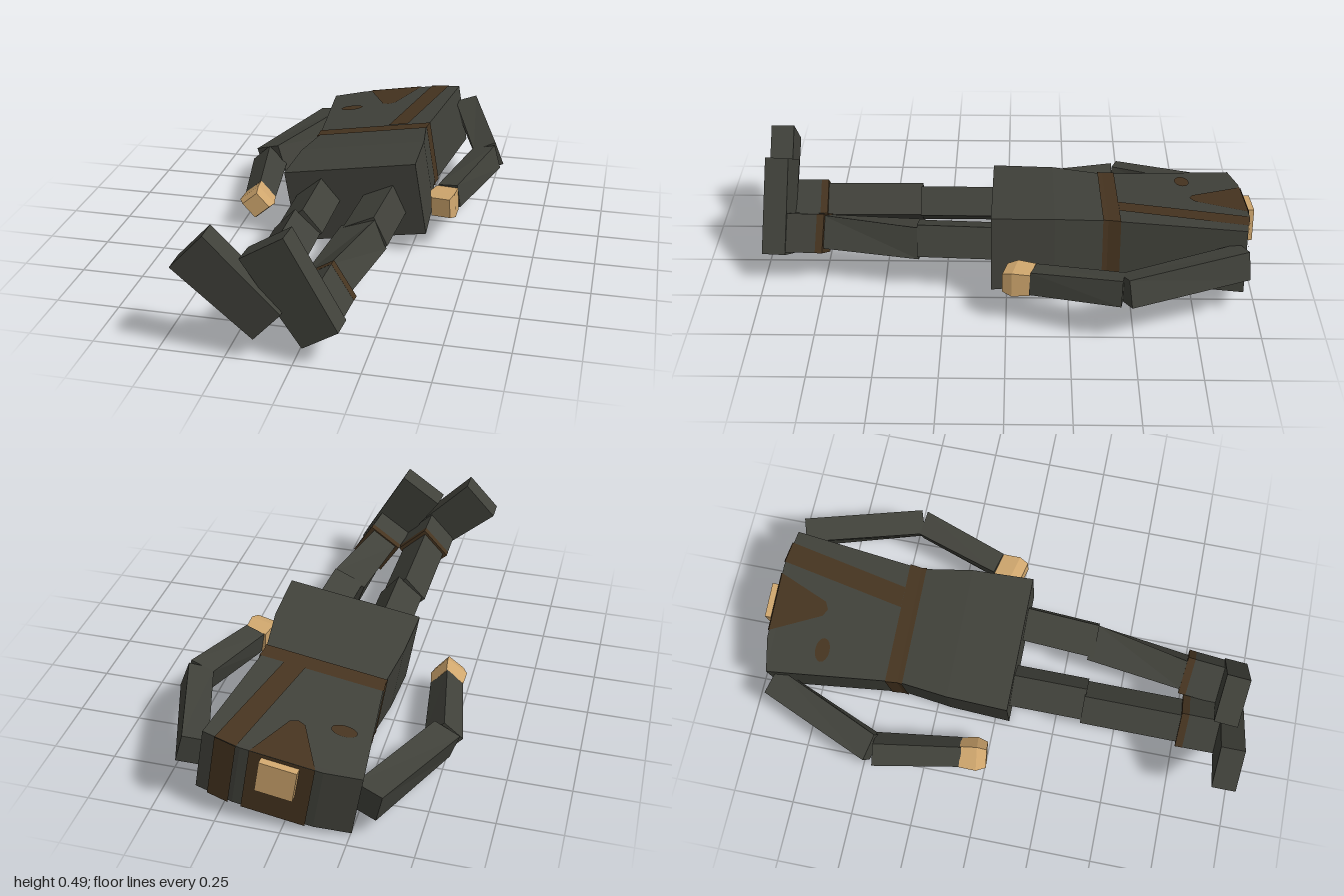
import * as THREE from 'three';

const mat = (name, color) => {
  const m = new THREE.MeshStandardMaterial({ color, side: THREE.DoubleSide });
  m.name = name;
  return m;
};

// One four-cornered cross-section: centre, size, roll in degrees,
// slope (z gained per unit of x) and an optional width of the upper edge.
function corners({ z, x, y, w, h, roll = 0, slope = 0, top = w }) {
  const a = THREE.MathUtils.degToRad(roll), c = Math.cos(a), s = Math.sin(a);
  return [[-w / 2, -h / 2], [w / 2, -h / 2], [top / 2, h / 2], [-top / 2, h / 2]].map(([u, v]) => {
    const dx = u * c - v * s;
    return [x + dx, y + u * s + v * c, z + slope * dx];
  });
}

function flatGeometry(triangles) {
  const g = new THREE.BufferGeometry();
  g.setAttribute('position', new THREE.Float32BufferAttribute(triangles.flat(), 3));
  g.computeVertexNormals();
  return g;
}

// Faceted solid through sections listed by rising z
function loft(sections, closed = true) {
  const rings = sections.map(corners), t = [];
  const quad = (a, b, c, d) => t.push(a, b, c, a, c, d);
  for (let k = 0; k < rings.length - 1; k++) {
    for (let i = 0; i < 4; i++) {
      const j = (i + 1) % 4;
      quad(rings[k][i], rings[k][j], rings[k + 1][j], rings[k + 1][i]);
    }
  }
  if (closed) {
    quad(...rings[0].slice().reverse());
    quad(...rings[rings.length - 1]);
  }
  return flatGeometry(t);
}

const sec = (z, x, y, w, h, roll, slope = 0, top = w) => ({ z, x, y, w, h, roll, slope, top });

const TILT = 9.4;

// Maps a point in the tilted chest's own width and depth to space
function onChest(u, v, z) {
  const a = THREE.MathUtils.degToRad(TILT), k = (-0.4 - z) / 0.54;
  const cx = 0.015 + 0.005 * k, cy = 0.205 - 0.015 * k;
  return [cx + u * Math.cos(a) - v * Math.sin(a), cy + u * Math.sin(a) + v * Math.cos(a), z];
}

// Thin painted face, fanned from its first corner
function plate(points) {
  const p = points.map((q) => onChest(...q)), t = [];
  for (let i = 1; i < p.length - 1; i++) t.push(p[0], p[i], p[i + 1]);
  return flatGeometry(t);
}

export function createModel() {
  const model = new THREE.Group();
  model.name = 'recliningFigure';
  const cloth = mat('darkOliveCloth', 0x40413a);
  const brown = mat('brownTrim', 0x463420);
  const skin = mat('skin', 0xd0a76e);
  const add = (name, geometry, material) => {
    const m = new THREE.Mesh(geometry, material);
    m.name = name;
    model.add(m);
  };

  // Coat, from the sloping shoulders to the hem
  add('coat', loft([
    sec(-0.967, 0.015, 0.19, 0.31, 0.265, TILT),
    sec(-0.94, 0.02, 0.19, 0.6, 0.265, TILT),
    sec(-0.4, 0.015, 0.205, 0.48, 0.26, TILT),
    sec(-0.19, 0.017, 0.21, 0.535, 0.287, TILT),
    sec(0.06, 0.018, 0.2025, 0.552, 0.309, TILT),
  ]), cloth);
  add('neck', loft([
    sec(-1, 0.008, 0.243, 0.143, 0.134, TILT),
    sec(-0.95, 0.008, 0.243, 0.143, 0.134, TILT),
  ]), skin);

  // Belt, wrapped around the waist
  add('belt', loft([
    sec(-0.45, 0.016, 0.2035, 0.499, 0.268, TILT),
    sec(-0.4, 0.015, 0.205, 0.488, 0.268, TILT),
    sec(-0.38, 0.015, 0.2055, 0.494, 0.271, TILT),
  ], false), brown);

  // Collar, sash and badge on the chest
  const f = 0.136;
  add('collar', plate([[-0.13, f, -0.968], [-0.03, f, -0.76], [0, f, -0.745], [0.03, f, -0.76], [0.115, f, -0.968]]), brown);
  add('collarEnd', plate([[-0.13, f, -0.971], [0.115, f, -0.971], [0.115, -f, -0.971], [-0.13, -f, -0.971]]), brown);
  add('sash', plate([[0.065, f, -0.45], [0.15, f, -0.45], [0.2, f, -0.7], [0.25, f, -0.952], [0.165, f, -0.967], [0.12, f, -0.7]]), brown);
  add('sashEnd', plate([[0.165, f, -0.97], [0.25, f, -0.954], [0.25, -f, -0.954], [0.165, -f, -0.97]]), brown);
  add('badge', plate(Array.from({ length: 16 }, (_, i) => {
    const a = (i / 16) * Math.PI * 2;
    return [-0.17 + 0.05 * Math.cos(a), f, -0.73 + 0.03 * Math.sin(a)];
  })), brown);

  // Arms
  add('rightUpperArm', loft([
    sec(-0.92, -0.3, 0.155, 0.11, 0.12, 12, 0.3),
    sec(-0.465, -0.487, 0.125, 0.11, 0.12, 18, 0.25),
  ]), cloth);
  add('rightForearm', loft([
    sec(-0.455, -0.49, 0.12, 0.1, 0.112, 42, -0.08),
    sec(-0.1, -0.432, 0.12, 0.088, 0.095, 42, -0.15),
  ]), cloth);
  add('leftUpperArm', loft([
    sec(-0.93, 0.345, 0.262, 0.095, 0.115, 15, -0.3),
    sec(-0.46, 0.5, 0.232, 0.095, 0.11, 20, -0.35),
  ]), cloth);
  add('leftForearm', loft([
    sec(-0.45, 0.492, 0.232, 0.1, 0.105, 16, 0.15),
    sec(-0.105, 0.383, 0.198, 0.085, 0.095, 10, 0.3),
  ]), cloth);

  // Hands, narrower toward the fingers
  for (const [side, x, y, roll, slope, dx] of [['right', -0.432, 0.12, 40, -0.12, 0.1], ['left', 0.374, 0.192, 4, 0.25, -0.12]]) {
    add(side + 'Hand', loft([[-0.105, 0.092], [-0.035, 0.104], [0.005, 0.08]].map(([z, size]) =>
      sec(z, x + dx * (z + 0.08), y, size, size, roll, slope))), skin);
  }

  // Legs, each rolled outward from the body
  add('rightThigh', loft([
    sec(0.04, -0.136, 0.21, 0.135, 0.122, 40),
    sec(0.36, -0.136, 0.21, 0.135, 0.122, 40),
  ]), cloth);
  add('rightShin', loft([
    sec(0.355, -0.147, 0.205, 0.125, 0.137, 47),
    sec(0.77, -0.147, 0.203, 0.125, 0.137, 47),
  ]), cloth);
  add('leftThigh', loft([
    sec(0.04, 0.143, 0.212, 0.135, 0.13, 25),
    sec(0.36, 0.125, 0.21, 0.135, 0.13, 25),
  ]), cloth);
  add('leftShin', loft([
    sec(0.345, 0.117, 0.2, 0.15, 0.13, 20, 0.1),
    sec(0.75, 0.063, 0.198, 0.12, 0.135, 32.5, 0.1),
  ]), cloth);

  // Boots: brown cuff, shaft and a long foot pointing up
  add('rightCuff', loft([
    sec(0.75, -0.147, 0.202, 0.156, 0.159, 47),
    sec(0.78, -0.147, 0.202, 0.156, 0.159, 47),
  ]), brown);
  add('rightBoot', loft([
    sec(0.78, -0.147, 0.202, 0.155, 0.158, 47),
    sec(0.96, -0.147, 0.202, 0.153, 0.158, 47),
  ]), cloth);
  add('rightFoot', loft([
    sec(0.905, -0.232, 0.281, 0.153, 0.39, 47, 0, 0.186),
    sec(1, -0.232, 0.281, 0.153, 0.39, 47, 0, 0.186),
  ]), cloth);
  add('leftCuff', loft([
    sec(0.738, 0.07, 0.193, 0.156, 0.159, 32.5, 0.1),
    sec(0.768, 0.067, 0.192, 0.156, 0.159, 32.5, 0.1),
  ]), brown);
  add('leftBoot', loft([
    sec(0.768, 0.067, 0.192, 0.155, 0.158, 32.5, 0.1),
    sec(0.96, 0.052, 0.185, 0.155, 0.158, 32.5, 0.09),
  ]), cloth);
  add('leftFoot', loft([
    sec(0.887, 0.002, 0.278, 0.16, 0.392, 32.5, 0.08, 0.196),
    sec(0.982, -0.005, 0.278, 0.16, 0.392, 32.5, 0.08, 0.196),
  ]), cloth);

  return model;
}
